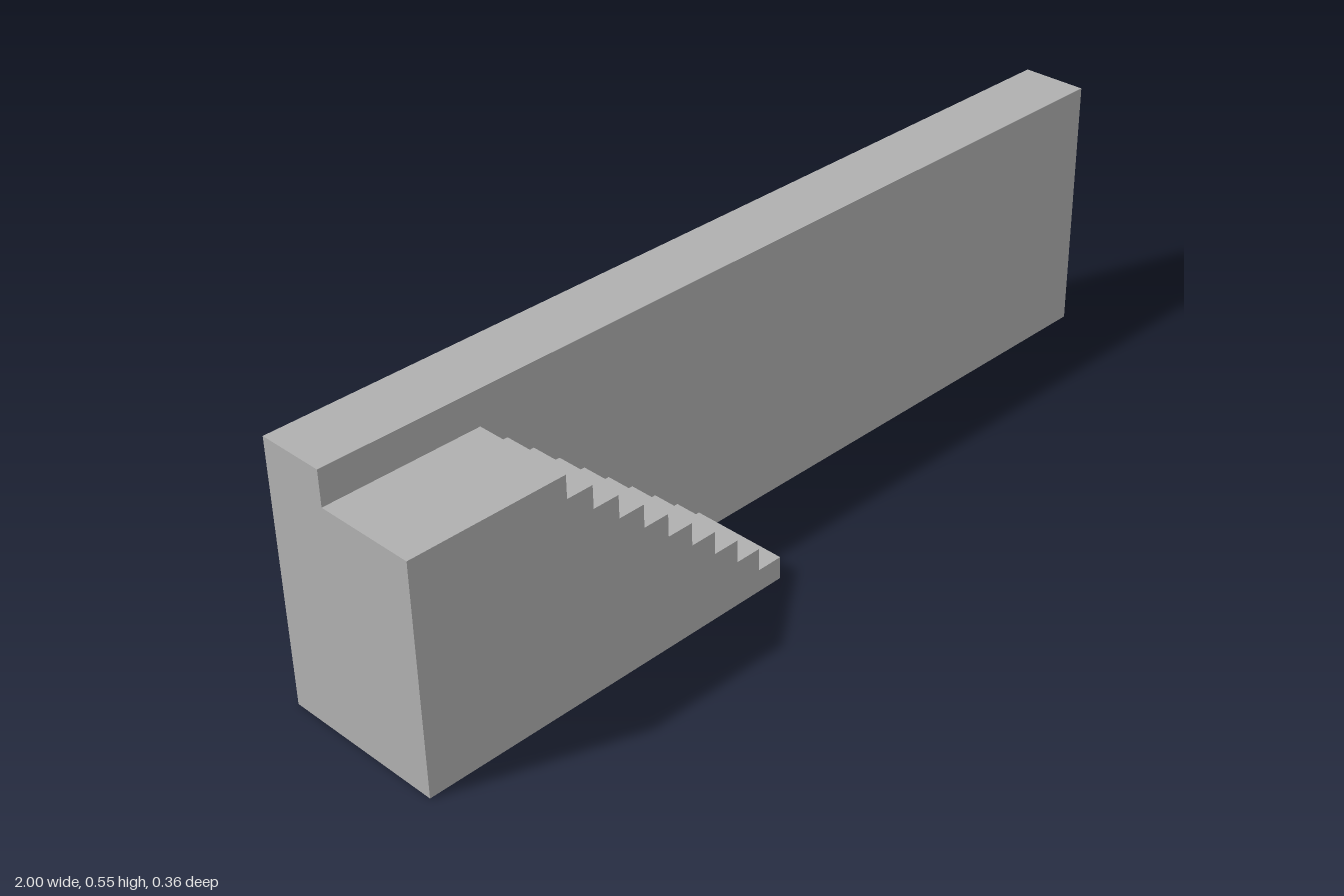
import * as THREE from 'three';

export function createModel() {
  const model = new THREE.Group();
  const stone = new THREE.MeshStandardMaterial({ color: 0xb0b0b0 });
  stone.name = 'grey stone';

  const backZ = -0.178, wallFrontZ = -0.035, stairFrontZ = 0.178;
  const wallHeight = 0.554;

  // Long straight wall
  const wall = new THREE.Mesh(
    new THREE.BoxGeometry(2, wallHeight, wallFrontZ - backZ), stone);
  wall.name = 'wall';
  wall.position.set(0, wallHeight / 2, (backZ + wallFrontZ) / 2);
  model.add(wall);

  // Solid staircase with a landing, as one stepped profile
  const steps = 10, rise = 0.0481, tread = 0.057, footX = -0.155;
  const profile = new THREE.Shape();
  profile.moveTo(-1, 0);
  for (let i = 0; i < steps; i++) {
    const x = footX - i * tread;
    profile.lineTo(x, i * rise);
    profile.lineTo(x, (i + 1) * rise);
  }
  profile.lineTo(-1, steps * rise);
  profile.closePath();

  const staircase = new THREE.Mesh(
    new THREE.ExtrudeGeometry(profile, {
      depth: stairFrontZ - wallFrontZ, bevelEnabled: false,
    }), stone);
  staircase.name = 'staircase';
  staircase.position.z = wallFrontZ;
  model.add(staircase);

  return model;
}
